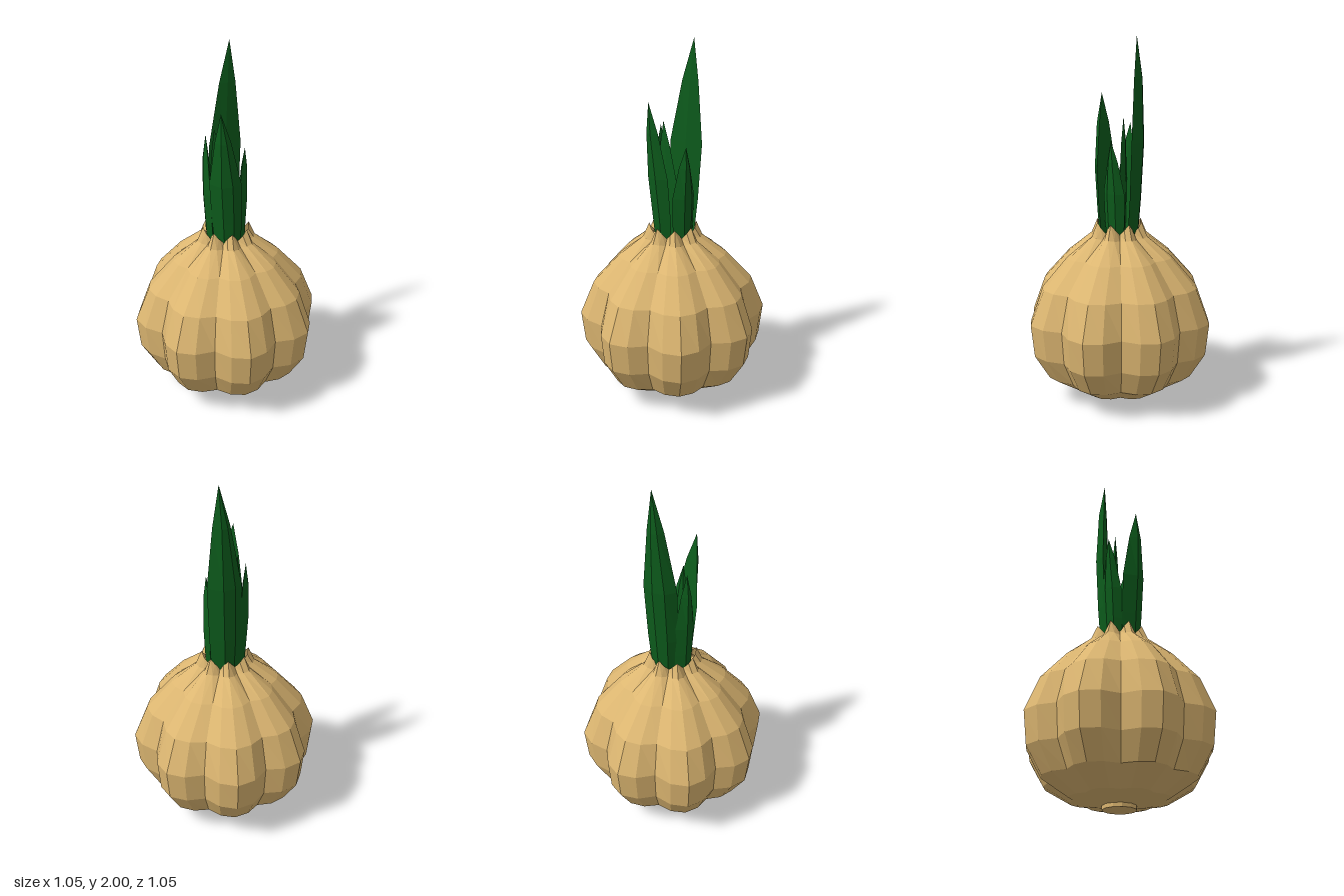
import * as THREE from 'three';

const skin = new THREE.MeshStandardMaterial({ color: 0xdcb671, flatShading: true, side: THREE.DoubleSide });
const green = new THREE.MeshStandardMaterial({ color: 0x0d5c1c, flatShading: true, side: THREE.DoubleSide });

// Joins equal-length rings of points, from bottom to top, into a closed tube.
function loft(rings, material, name) {
  const n = rings[0].length, index = [];
  for (let i = 0; i < rings.length - 1; i++) {
    for (let j = 0; j < n; j++) {
      const a = i * n + j, b = i * n + (j + 1) % n;
      index.push(a, a + n, b, b, a + n, b + n);
    }
  }
  const geometry = new THREE.BufferGeometry();
  geometry.setAttribute('position', new THREE.Float32BufferAttribute(rings.flat(2), 3));
  geometry.setIndex(index);
  const flat = geometry.toNonIndexed();
  flat.computeVertexNormals();
  const mesh = new THREE.Mesh(flat, material);
  mesh.name = name;
  return mesh;
}

// Eight-lobed bulb: each level gives the height and radius on the lobe ridge,
// the height drop in the valley, and the valley radius.
function bulb() {
  const levels = [
    [0.02, 0.085, 0, 0.08], [0.05, 0.27, 0, 0.235], [0.14, 0.42, 0, 0.365], [0.28, 0.505, 0, 0.43],
    [0.46, 0.525, 0, 0.444], [0.65, 0.447, 0, 0.395], [0.81, 0.302, 0, 0.265],
    [0.92, 0.165, 0.01, 0.13], [1.0, 0.13, 0.06, 0.105],
  ];
  const rings = levels.map(([y, ridge, drop, valley]) => {
    const side = valley + (ridge - valley) * 0.68;
    return Array.from({ length: 32 }, (_, j) => {
      const k = j % 4;
      const r = k === 0 ? ridge : k === 2 ? valley : side;
      const a = j / 32 * Math.PI * 2;
      return [r * Math.sin(a), y - drop * (k === 0 ? 0 : k === 2 ? 1 : 0.5), r * Math.cos(a)];
    });
  });
  return loft(rings, skin, 'bulb');
}

// Folded pointed leaf: a four-sided section (edge, outer ridge, edge, inner fold)
// follows a path from base to tip; turn is the direction the ridge faces.
function leaf({ base, mid, tip, turn, width, depth }) {
  const ox = Math.sin(turn), oz = Math.cos(turn);
  const path = new THREE.QuadraticBezierCurve3(
    new THREE.Vector3(base[0], 0.88, base[1]),
    new THREE.Vector3(mid[0], 0.88 + (tip[1] - 0.88) * 0.5, mid[1]),
    new THREE.Vector3(...tip));
  const steps = [[0, 0.8, 0.85], [0.22, 0.95, 0.9], [0.5, 1, 1], [0.8, 0.5, 0.7], [1, 0, 0]];
  const rings = steps.map(([t, w, d]) => {
    const p = path.getPoint(t);
    const corner = (across, out) => [
      p.x + oz * across * width * w + ox * out * depth * d,
      p.y,
      p.z - ox * across * width * w + oz * out * depth * d];
    return [corner(-1, -0.45), corner(-0.25, 0.8), corner(0.45, 0.75), corner(1, -0.3), corner(0, -0.55)];
  });
  return loft(rings, green, 'leaf');
}

export function createModel() {
  const model = new THREE.Group();
  model.name = 'sproutingBulb';
  model.add(bulb());

  // Root plate under the bulb
  const root = new THREE.Mesh(new THREE.CylinderGeometry(0.09, 0.09, 0.025, 12), skin);
  root.position.y = 0.0125;
  root.name = 'rootPlate';
  model.add(root);

  // Floor of the neck between the leaves
  const floor = new THREE.Mesh(new THREE.CircleGeometry(0.12, 16).rotateX(-Math.PI / 2), skin);
  floor.position.y = 0.92;
  floor.name = 'neckFloor';
  model.add(floor);

  // Leaves: back, front, right-hand, left-hand and inner
  const leaves = new THREE.Group();
  leaves.name = 'leaves';
  [
    { base: [0.005, -0.075], mid: [0, -0.12], tip: [0.047, 2.0, -0.115], turn: Math.PI + 0.25, width: 0.095, depth: 0.045 },
    { base: [-0.01, 0.075], mid: [-0.025, 0.105], tip: [-0.06, 1.69, 0.125], turn: -0.22, width: 0.085, depth: 0.045 },
    { base: [0.08, 0], mid: [0.085, 0.005], tip: [0.1, 1.45, 0.01], turn: Math.PI / 2 - 0.25, width: 0.07, depth: 0.035 },
    { base: [-0.08, -0.01], mid: [-0.1, -0.015], tip: [-0.105, 1.53, -0.025], turn: -Math.PI / 2 - 0.2, width: 0.065, depth: 0.035 },
    { base: [-0.02, -0.01], mid: [-0.035, -0.01], tip: [-0.065, 1.565, 0], turn: Math.PI + 0.2, width: 0.06, depth: 0.022 },
  ].forEach((spec) => leaves.add(leaf(spec)));
  model.add(leaves);
  return model;
}
